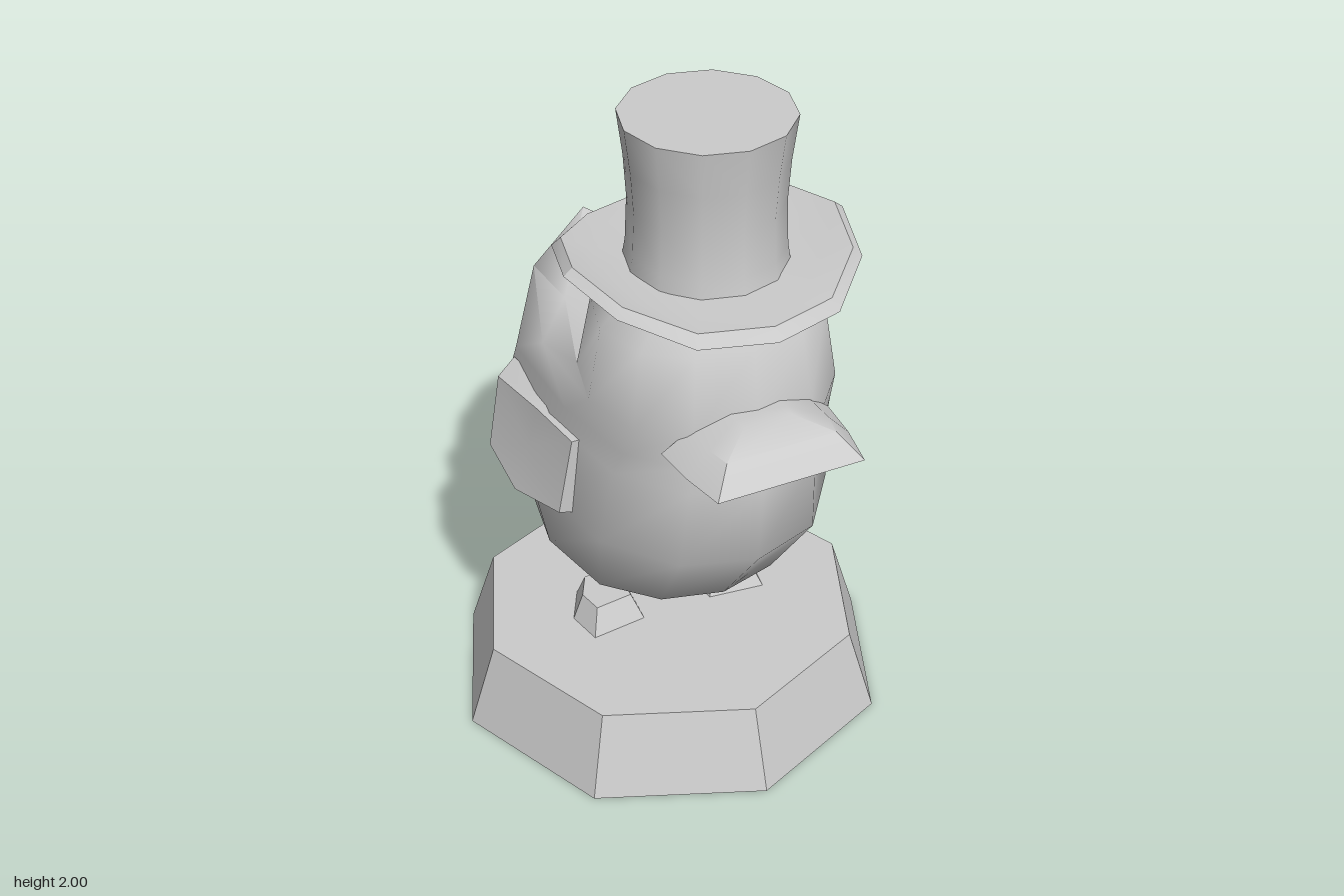
import * as THREE from 'three';
import { toCreasedNormals } from 'three/addons/utils/BufferGeometryUtils.js';

const material = new THREE.MeshStandardMaterial({ color: 0xcccccc });

// Skin a stack of equal-length rings of [x, y, z] (counter-clockwise seen from the last ring), with caps.
function loft(rings, crease) {
  const n = rings[0].length;
  const points = rings.flat();
  const index = [];
  for (let r = 0; r < rings.length - 1; r++) {
    for (let i = 0; i < n; i++) {
      const a = r * n + i, b = r * n + (i + 1) % n;
      index.push(a, b, b + n, a, b + n, a + n);
    }
  }
  const cap = (ring, start, flip) => {
    const centre = [0, 1, 2].map((k) => ring.reduce((sum, p) => sum + p[k], 0) / n);
    const c = points.push(centre) - 1;
    for (let i = 0; i < n; i++) {
      const a = start + i, b = start + (i + 1) % n;
      index.push(c, ...(flip ? [b, a] : [a, b]));
    }
  };
  cap(rings[0], 0, true);
  cap(rings[rings.length - 1], (rings.length - 1) * n, false);
  const geometry = new THREE.BufferGeometry();
  geometry.setAttribute('position', new THREE.Float32BufferAttribute(points.flat(), 3));
  geometry.setIndex(index);
  return toCreasedNormals(geometry, crease);
}

// Twelve-sided turned shape from [radius, y] points.
function turned(profile) {
  return new THREE.LatheGeometry(profile.map(([r, y]) => new THREE.Vector2(r, y)), 12);
}

// Body ring: front height, back height, front z, back z, half width, sharpness of the lift at the back.
function bodyRing([y, yBack, zFront, zBack, rx, lift = 2]) {
  const mid = (zFront + zBack) / 2, half = (zFront - zBack) / 2;
  return Array.from({ length: 12 }, (_, i) => {
    const a = (i / 12) * Math.PI * 2, c = Math.cos(a);
    return [
      rx * Math.sin(a),
      y + (yBack - y) * Math.max(0, -c) ** lift,
      mid + half * Math.sign(c) * Math.abs(c) ** 0.8,
    ];
  });
}

export function createModel() {
  const model = new THREE.Group();
  const add = (name, geometry, x = 0, y = 0, z = 0) => {
    const mesh = new THREE.Mesh(geometry, material);
    mesh.name = name;
    mesh.position.set(x, y, z);
    model.add(mesh);
  };

  // Octagonal plinth
  add('plinth', toCreasedNormals(new THREE.CylinderGeometry(0.57, 0.65, 0.25, 8), 0.3), 0, 0.125, -0.035);

  // Body, upturned tail and head in one skin
  add('body', loft([
    [0.42, 0.42, -0.12, -0.14, 0.01],
    [0.45, 0.48, 0.07, -0.38, 0.2],
    [0.53, 0.57, 0.33, -0.54, 0.35],
    [0.79, 0.86, 0.53, -0.7, 0.41],
    [1.04, 1.31, 0.55, -0.6, 0.38, 4],
    [1.12, 1.21, 0.535, -0.38, 0.365, 1],
    [1.22, 1.21, 0.515, -0.11, 0.35],
    [1.44, 1.44, 0.48, -0.06, 0.315],
    [1.54, 1.54, 0.4, 0, 0.2],
  ].map(bodyRing), 1.2));

  // Broad flat-bottomed beak
  const beakRing = (y, half) => [
    ...half.map(([x, z, dy = 0]) => [x, y + dy, z]),
    ...[...half].reverse().map(([x, z, dy = 0]) => [-x, y + dy, z]),
  ];
  add('beak', loft([
    beakRing(1.165, [[0.215, 0.7], [0.24, 0.57], [0.25, 0.44]]),
    beakRing(1.235, [[0.16, 0.64], [0.175, 0.57], [0.17, 0.46]]),
    beakRing(1.27, [[0.07, 0.56], [0.075, 0.52], [0.07, 0.47]]),
  ], 0.8));

  // Wings, legs and feet on both sides
  const wingInner = [[0.36, 0.8, 0.13], [0.36, 0.75, -0.07], [0.38, 0.77, -0.27],
    [0.34, 1.03, -0.345], [0.33, 1.06, -0.04], [0.33, 1.05, 0.14]];
  const wingOuter = [[0.415, 0.815, 0.13], [0.465, 0.78, -0.07], [0.465, 0.82, -0.25],
    [0.41, 1.01, -0.3], [0.4, 1.055, -0.04], [0.375, 1.05, 0.14]];
  const sole = [[0.11, 0.03], [0.28, 0.05], [0.3, -0.06], [0.24, -0.17], [0.16, -0.175], [0.1, -0.06]];
  const footRing = (y, s) => sole.map(([x, z]) => [0.197 + (x - 0.197) * s, y, -0.075 + (z + 0.075) * s]);
  for (const [side, s] of [['left', 1], ['right', -1]]) {
    const mirror = (ring) => (s > 0 ? ring : ring.map(([x, y, z]) => [-x, y, z]).reverse());
    add(side + 'Wing', loft([wingInner, wingOuter].map(mirror), 0.4));
    add(side + 'Foot', loft([footRing(0.25, 1), footRing(0.325, 0.68)].map(mirror), 0.4));
    add(side + 'Leg', new THREE.CylinderGeometry(0.02, 0.02, 0.22, 8), s * 0.175, 0.42, -0.115);
  }

  // Hat brim, curled up at the sides
  const brim = turned([[0, 1.54], [0.22, 1.54], [0.32, 1.54], [0.41, 1.54],
    [0.385, 1.575], [0.31, 1.575], [0.2, 1.575], [0, 1.575]]);
  const pos = brim.attributes.position;
  for (let i = 0; i < pos.count; i++) {
    const bend = Math.max(0, Math.abs(pos.getX(i)) - 0.15) / 0.26;
    pos.setY(i, pos.getY(i) + 0.08 * bend * bend);
  }
  add('hatBrim', toCreasedNormals(brim, 0.5), 0, 0, 0.2);

  // Flared hat crown
  add('hatCrown', toCreasedNormals(turned([[0.225, 1.56], [0.215, 1.62], [0.21, 1.75],
    [0.218, 1.87], [0.235, 2], [0, 2]]), 0.8), 0, 0, 0.2);

  return model;
}
